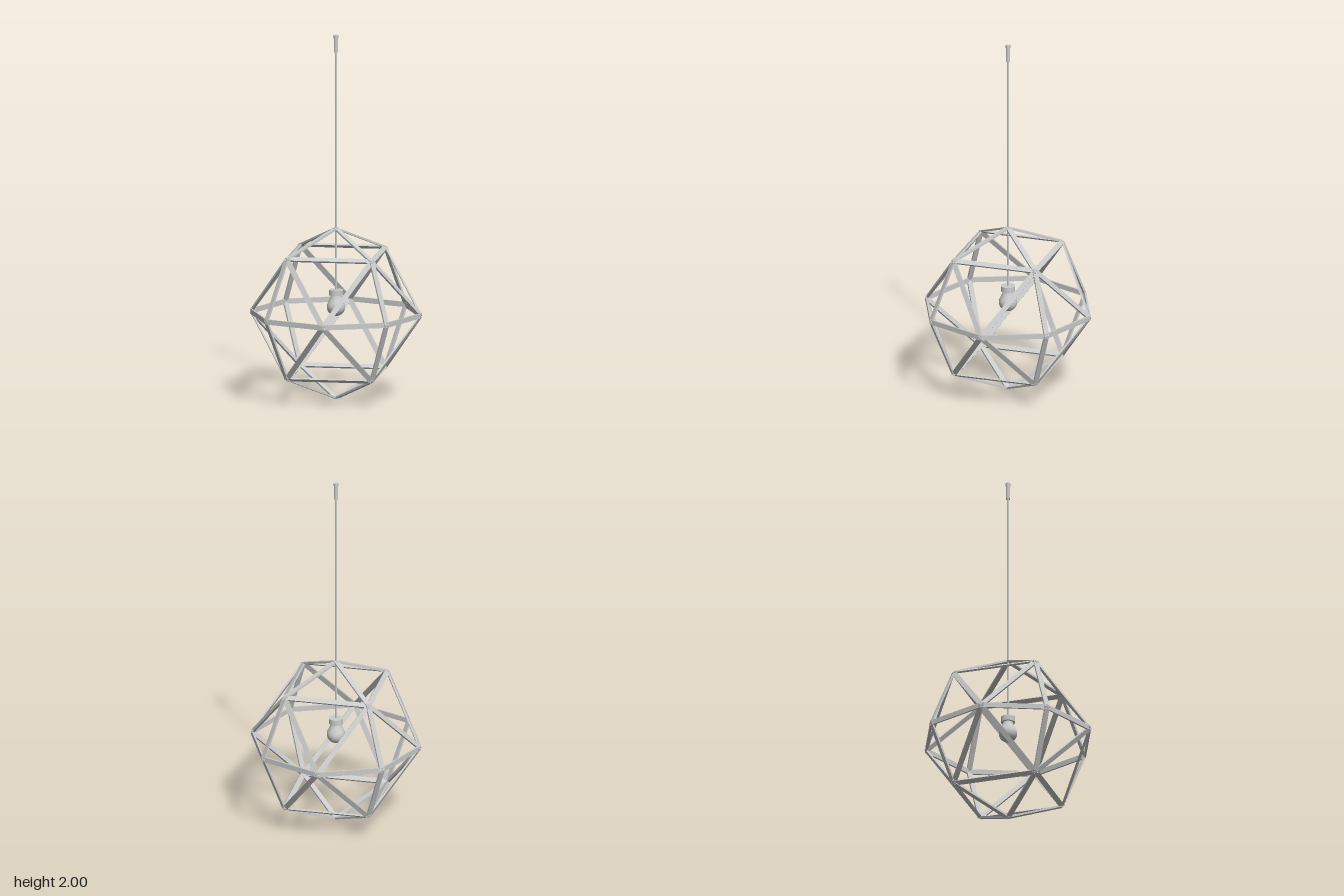
import * as THREE from 'three';

const R = 0.466;        // cage radius to the strut centre line
const CENTER_Y = 0.473;

// 6 axis points and 12 diagonal points, all on one sphere
function cageVertices() {
  const points = [];
  for (let x = -1; x <= 1; x++)
    for (let y = -1; y <= 1; y++)
      for (let z = -1; z <= 1; z++) {
        const n = Math.abs(x) + Math.abs(y) + Math.abs(z);
        if (n === 1 || n === 2) points.push(new THREE.Vector3(x, y, z).setLength(R));
      }
  return points;
}

// Flat bar between two points, its broad face turned outwards
function makeStrut(a, b, material) {
  const along = b.clone().sub(a);
  const length = along.length();
  along.normalize();
  const middle = a.clone().add(b).multiplyScalar(0.5);
  const outward = middle.clone().normalize();
  const across = along.clone().cross(outward);
  const strut = new THREE.Mesh(new THREE.BoxGeometry(length, 0.01, 0.028), material);
  strut.name = 'strut';
  strut.quaternion.setFromRotationMatrix(new THREE.Matrix4().makeBasis(along, outward, across));
  strut.position.copy(middle);
  return strut;
}

export function createModel() {
  const model = new THREE.Group();
  model.name = 'pendantLamp';
  const material = new THREE.MeshStandardMaterial({ color: 0xcccccc });

  const add = (name, geometry, y) => {
    const mesh = new THREE.Mesh(geometry, material);
    mesh.name = name;
    mesh.position.y = y;
    model.add(mesh);
  };

  // Cage: a strut between every pair of neighbouring points
  const cage = new THREE.Group();
  cage.name = 'cage';
  cage.position.y = CENTER_Y;
  const points = cageVertices();
  points.forEach((a, i) => {
    for (const b of points.slice(i + 1))
      if (a.distanceTo(b) < R * 1.1) cage.add(makeStrut(a, b, material));
  });
  model.add(cage);

  // Cable and ceiling fitting
  add('cable', new THREE.CylinderGeometry(0.0055, 0.0055, 1.32, 12), 1.26);
  add('ceilingFitting', new THREE.CylinderGeometry(0.011, 0.012, 0.08, 16), 1.945);
  add('ceilingFittingCap', new THREE.CylinderGeometry(0.0125, 0.0125, 0.017, 16), 1.9915);

  // Socket
  add('socket', new THREE.CylinderGeometry(0.039, 0.039, 0.03, 20), 0.588);

  // Bulb: narrow neck swelling into a round end
  const profile = [[0, -0.05]];
  for (let i = 1; i <= 10; i++) {
    const t = -Math.PI / 2 + (i / 10) * (Math.PI / 2 + 0.45);
    profile.push([0.05 * Math.cos(t), 0.05 * Math.sin(t)]);
  }
  profile.push([0.037, 0.038], [0.03, 0.053], [0.027, 0.066]);
  add('bulb', new THREE.LatheGeometry(profile.map(([x, y]) => new THREE.Vector2(x, y)), 24), 0.508);

  return model;
}
